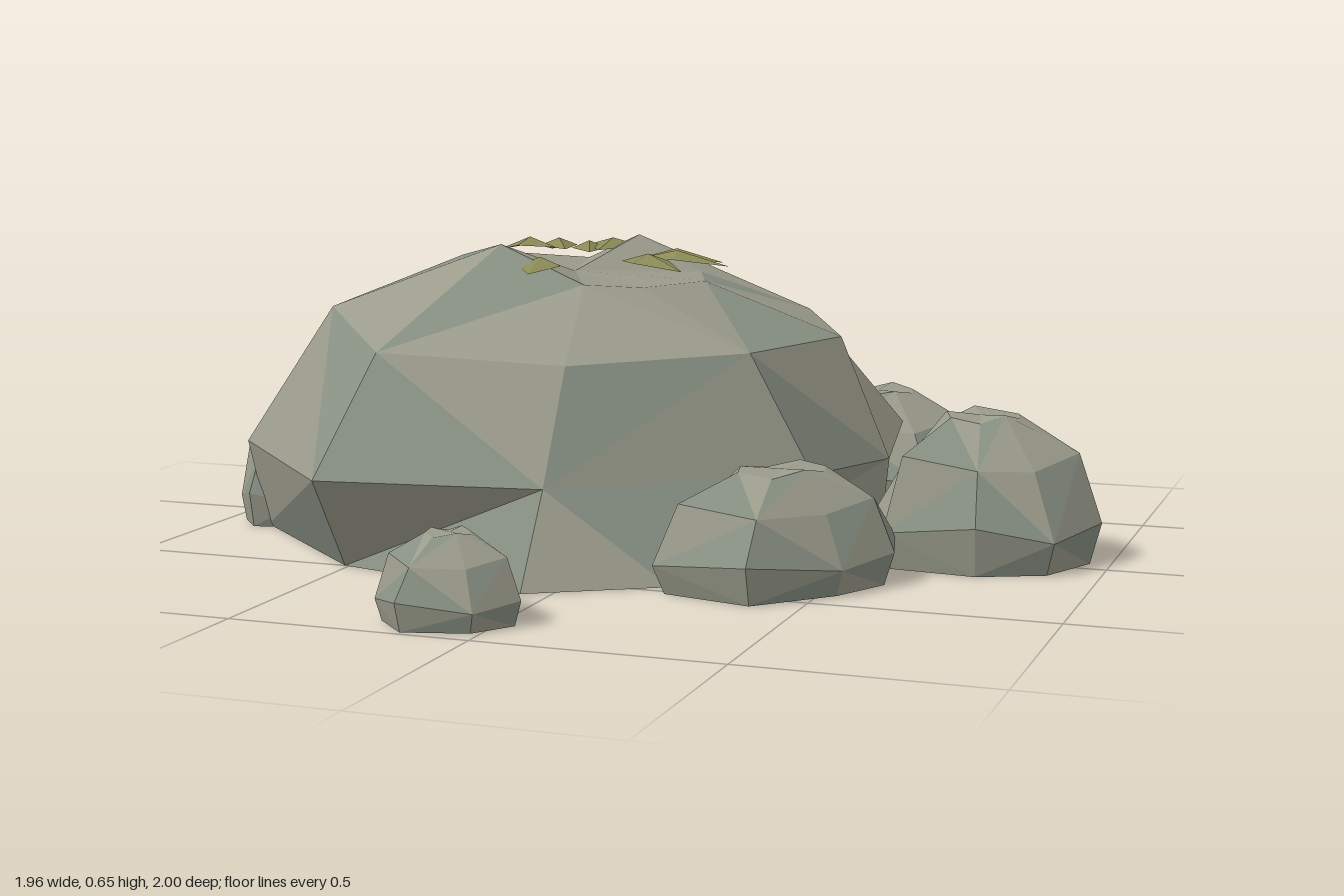
import * as THREE from 'three';

const makeMaterial = (name, color) => {
  const m = new THREE.MeshStandardMaterial({ color, flatShading: true, side: THREE.DoubleSide });
  m.name = name;
  return m;
};
const paleStone = makeMaterial('pale warm stone', 0x9a9b8b);
const greenStone = makeMaterial('green grey stone', 0x878f82);
const leaf = makeMaterial('olive leaf', 0x8a8a57);

// Faceted shell through a stack of rings (bottom to top), open below, closed by a crown point.
// Some facets take the second stone colour.
function loft(rings, top) {
  const pale = [], green = [];
  const n = rings[0].length;
  for (let i = 0; i < n; i++) {
    const j = (i + 1) % n;
    for (let r = 0; r < rings.length - 1; r++) {
      const a = rings[r][i], b = rings[r][j], c = rings[r + 1][j], d = rings[r + 1][i];
      const pair = (i + r) % 2 === 0 ? [[a, b, c], [a, c, d]] : [[a, b, d], [b, c, d]];
      pair.forEach((t, k) => ((i * 2 + r + k * 3) % 5 < 2 ? green : pale).push(...t.flat()));
    }
    const last = rings[rings.length - 1];
    pale.push(...last[i], ...last[j], ...top);
  }
  const g = new THREE.BufferGeometry();
  g.setAttribute('position', new THREE.Float32BufferAttribute(pale.concat(green), 3));
  g.addGroup(0, pale.length / 3, 0);
  g.addGroup(pale.length / 3, green.length / 3, 1);
  g.computeVertexNormals();
  return g;
}

function boulder() {
  const base = [[-.51, 0, .5], [-.06, 0, .62], [.2, 0, .46], [.5, 0, -.05], [.33, 0, -.43],
    [-.06, 0, -.62], [-.5, 0, -.66], [-.79, 0, -.26], [-.88, 0, .16]];
  const waist = [[-.52, .2, .62], [-.06, .19, .5], [.42, .2, .2], [.52, .2, -.05], [.42, .2, -.57],
    [-.06, .23, -.75], [-.5, .2, -.73], [-.8, .2, -.28], [-.9, .2, .21]];
  const shoulder = [[-.48, .44, .4], [-.05, .43, .4], [.29, .45, .22], [.41, .46, -.05], [.24, .48, -.39],
    [-.08, .5, -.52], [-.42, .48, -.55], [-.62, .5, -.3], [-.69, .51, .19]];
  const crown = [[-.3, .655, .15], [-.08, .58, .22], [.02, .57, .14], [.1, .57, -.05], [.02, .57, -.26],
    [-.14, .65, -.28], [-.28, .59, -.32], [-.44, .61, -.18], [-.44, .62, .04]];
  return loft([base, waist, shoulder, crown], [-.2, .585, -.03]);
}

// Small stone: plan outline drawn in towards a flat crown, heights and radii jittered
function smallStone({ outline, c, h, cap }) {
  const profile = [[0, .91], [.27, 1], [.69, .75], [.97, cap]];
  const rings = profile.map(([y, k], r) => outline.map(([x, z], i) => {
    const wob = r === 0 ? 0 : Math.sin(i * 2.4 + r * 1.7) * .06;
    const s = r === 2 ? k + wob : k;
    return [c[0] + (x - c[0]) * s, h * (y + (r < 3 ? wob : wob * .5)), c[1] + (z - c[1]) * s];
  }));
  return loft(rings, [c[0], h * .97, c[1]]);
}

const stones = [
  { name: 'rightSideStone', c: [.72, -.05], h: .315, cap: .32,
    outline: [[.76, .18], [.91, .11], [.98, -.05], [.93, -.23], [.62, -.28], [.52, -.17], [.49, -.02], [.56, .16]] },
  { name: 'backStone', c: [.32, -.71], h: .26, cap: .34,
    outline: [[.26, -.47], [.5, -.51], [.58, -.7], [.54, -.87], [.36, -1], [.19, -.91], [.04, -.78], [.08, -.63]] },
  { name: 'frontCornerStone', c: [.4, .33], h: .24, cap: .36,
    outline: [[.4, .59], [.55, .43], [.62, .29], [.58, .13], [.42, .1], [.25, .2], [.16, .4], [.19, .54]] },
  { name: 'leftSideStone', c: [-.88, .05], h: .24, cap: .35,
    outline: [[-.9, .21], [-.8, .18], [-.74, .06], [-.78, -.07], [-.89, -.1], [-.96, -.03], [-.98, .06], [-.96, .14]] },
  { name: 'tallBackStone', c: [-.805, -.63], h: .32, cap: .38,
    outline: [[-.86, -.52], [-.75, -.52], [-.69, -.61], [-.72, -.69], [-.79, -.74], [-.86, -.71], [-.91, -.65], [-.9, -.57]] },
  { name: 'frontStone', c: [-.1, .86], h: .175, cap: .32,
    outline: [[-.15, 1], [-.01, .96], [.05, .87], [0, .78], [-.08, .73], [-.17, .74], [-.24, .82], [-.23, .92]] },
];

// Folded diamond leaf along +x with a raised midrib and a drooping tip
function leafGeometry(len, wide) {
  const a = [0, 0, 0], b = [len, -.01, 0], m = [len * .45, .022, 0];
  const l = [len * .5, .004, -wide / 2], r = [len * .5, .004, wide / 2];
  const g = new THREE.BufferGeometry();
  g.setAttribute('position', new THREE.Float32BufferAttribute(
    [a, m, l, m, b, l, a, r, m, m, r, b].flat(), 3));
  g.computeVertexNormals();
  return g;
}

// x, y, z of the stem, heading in plan (degrees, 0 = +x, 90 = +z), length, width
const leaves = [
  [-.06, .615, -.06, -18, .19, .08], [-.06, .615, -.04, 2, .22, .09], [-.07, .615, .02, 32, .21, .1],
  [-.2, .61, .11, 90, .13, .1], [-.27, .625, .12, 210, .11, .06],
  [-.3, .625, -.16, 188, .15, .09], [-.28, .62, -.17, 236, .15, .09],
  [-.22, .615, -.17, 248, .15, .08], [-.2, .62, -.17, 270, .22, .13], [-.17, .62, -.19, 290, .2, .08],
];

export function createModel() {
  const model = new THREE.Group();
  model.name = 'boulderCluster';
  const add = (name, geometry, material, parent = model) => {
    const mesh = new THREE.Mesh(geometry, material);
    mesh.name = name;
    parent.add(mesh);
    return mesh;
  };

  const stone = [paleStone, greenStone];
  add('mainBoulder', boulder(), stone);
  for (const s of stones) add(s.name, smallStone(s), stone);

  // Ring of leaves on the crown
  const ring = new THREE.Group();
  ring.name = 'leafRing';
  model.add(ring);
  for (const [x, y, z, heading, len, wide] of leaves) {
    const mesh = add('leaf', leafGeometry(len, wide), leaf, ring);
    mesh.position.set(x, y, z);
    mesh.rotation.y = -THREE.MathUtils.degToRad(heading);
  }
  return model;
}
